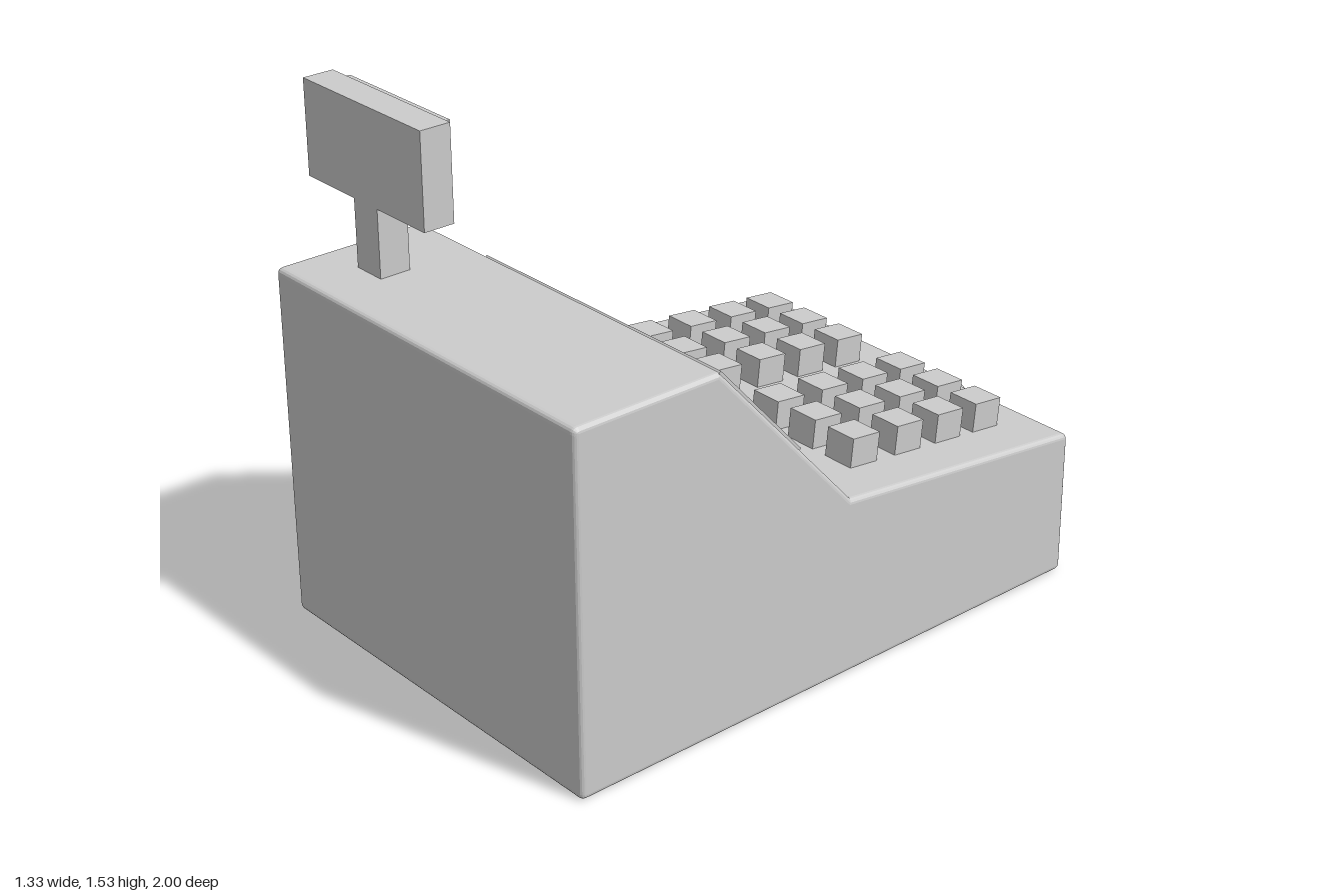
import * as THREE from 'three';

const material = new THREE.MeshStandardMaterial({ color: 0xcccccc });
const CENTRE_X = 0.03;

function add(parent, name, geometry, x = 0, y = 0, z = 0) {
  const mesh = new THREE.Mesh(geometry, material);
  mesh.name = name;
  mesh.position.set(x, y, z);
  parent.add(mesh);
  return mesh;
}

// Wedge-shaped case: side profile extruded across the width, with rounded edges
function caseGeometry() {
  const width = 1.27, bevel = 0.015, c = 0.018;
  const s = new THREE.Shape(); // horizontal axis is -z
  s.moveTo(-1 + c, 0);
  s.lineTo(0.785 - c, 0);
  s.quadraticCurveTo(0.785, 0, 0.785, c);
  s.lineTo(0.785, 0.44 - c);
  s.quadraticCurveTo(0.785, 0.44, 0.785 - c, 0.442);
  s.lineTo(-0.07, 0.535);
  s.lineTo(-0.535, 1.055);
  s.lineTo(-1 + c, 1.055);
  s.quadraticCurveTo(-1, 1.055, -1, 1.055 - c);
  s.lineTo(-1, c);
  s.quadraticCurveTo(-1, 0, -1 + c, 0);
  const g = new THREE.ExtrudeGeometry(s, {
    depth: width - 2 * bevel, bevelSize: bevel, bevelThickness: bevel,
    bevelOffset: -bevel, bevelSegments: 4, curveSegments: 4,
  });
  g.translate(0, 0, -width / 2 + bevel);
  return g.rotateY(Math.PI / 2);
}

// Drawer front: box whose slices flare into the case and round off at the face
function drawerGeometry() {
  const slices = [ // distance out from the case, growth of the outline
    [-0.02, 0.016], [0, 0.016], [0.003, 0.009], [0.008, 0.003], [0.016, 0],
    [0.098, 0], [0.105, -0.003], [0.109, -0.008], [0.11, -0.013],
  ];
  const n = slices.length - 1;
  const g = new THREE.BoxGeometry(1.015, 0.25, 1, 1, 1, n);
  const p = g.attributes.position;
  for (let i = 0; i < p.count; i++) {
    const [out, grow] = slices[Math.round((0.5 - p.getZ(i)) * n)];
    p.setXYZ(i, p.getX(i) + Math.sign(p.getX(i)) * grow,
      p.getY(i) + Math.sign(p.getY(i)) * grow, -out);
  }
  const flat = g.toNonIndexed();
  flat.computeVertexNormals();
  return flat;
}

// Rectangular frame with a recessed panel; its front lies on local z = 0
function screen(name, w, h, border, thickness, recess) {
  const group = new THREE.Group();
  group.name = name;
  const rect = (path, a, b) => path.moveTo(-a, -b).lineTo(a, -b).lineTo(a, b).lineTo(-a, b).closePath();
  const shape = rect(new THREE.Shape(), w / 2, h / 2);
  shape.holes.push(rect(new THREE.Path(), w / 2 - border, h / 2 - border));
  const frame = new THREE.ExtrudeGeometry(shape, { depth: thickness, bevelEnabled: false });
  add(group, name + 'Frame', frame, 0, 0, -thickness);
  add(group, name + 'Panel', new THREE.PlaneGeometry(w - 2 * border, h - 2 * border), 0, 0, -recess);
  group.rotation.order = 'YXZ';
  group.rotation.y = Math.PI;
  return group;
}

export function createModel() {
  const model = new THREE.Group();
  model.name = 'cashRegister';
  add(model, 'case', caseGeometry(), CENTRE_X);

  // Main screen on the steep slope
  const main = screen('mainScreen', 0.98, 0.428, 0.027, 0.045, 0.024);
  main.rotation.x = -Math.atan2(0.465, 0.52);
  main.position.set(CENTRE_X, 0.808, 0.264);
  model.add(main);

  // Keypad: two blocks of three columns, four rows, tilted with the deck
  const keys = new THREE.Group();
  keys.name = 'keypad';
  model.add(keys);
  const tilt = Math.atan2(0.095, 0.855);
  const keyGeometry = new THREE.BoxGeometry(0.1, 0.11, 0.1);
  for (const z of [-0.122, -0.291, -0.45, -0.602]) {
    for (const x of [-0.398, -0.248, -0.096, 0.165, 0.315, 0.465]) {
      const deck = 0.535 + (z - 0.07) * Math.tan(tilt);
      add(keys, 'key', keyGeometry, x, deck + 0.031, z).rotation.x = -tilt;
    }
  }

  // Customer display on its post
  const display = new THREE.Group();
  display.name = 'customerDisplay';
  model.add(display);
  add(display, 'displayPost', new THREE.BoxGeometry(0.105, 0.23, 0.095), -0.407, 1.143, 0.787);
  add(display, 'displayHead', new THREE.BoxGeometry(0.525, 0.28, 0.095), -0.407, 1.395, 0.787);
  const small = screen('displayScreen', 0.445, 0.248, 0.022, 0.025, 0.02);
  small.position.set(-0.4, 1.403, 0.716);
  display.add(small);

  // Cash drawer with a round knob
  const drawer = new THREE.Group();
  drawer.name = 'drawer';
  model.add(drawer);
  add(drawer, 'drawerFront', drawerGeometry(), 0.032, 0.225, -0.785);
  const knobProfile = [
    [0.056, -0.01], [0.056, 0.075], [0.064, 0.076], [0.07, 0.082],
    [0.07, 0.096], [0.067, 0.102], [0.06, 0.105], [0, 0.105],
  ].map(([r, h]) => new THREE.Vector2(r, h));
  const knob = new THREE.LatheGeometry(knobProfile, 32).rotateX(-Math.PI / 2);
  add(drawer, 'knob', knob, 0.028, 0.235, -0.895);

  return model;
}
